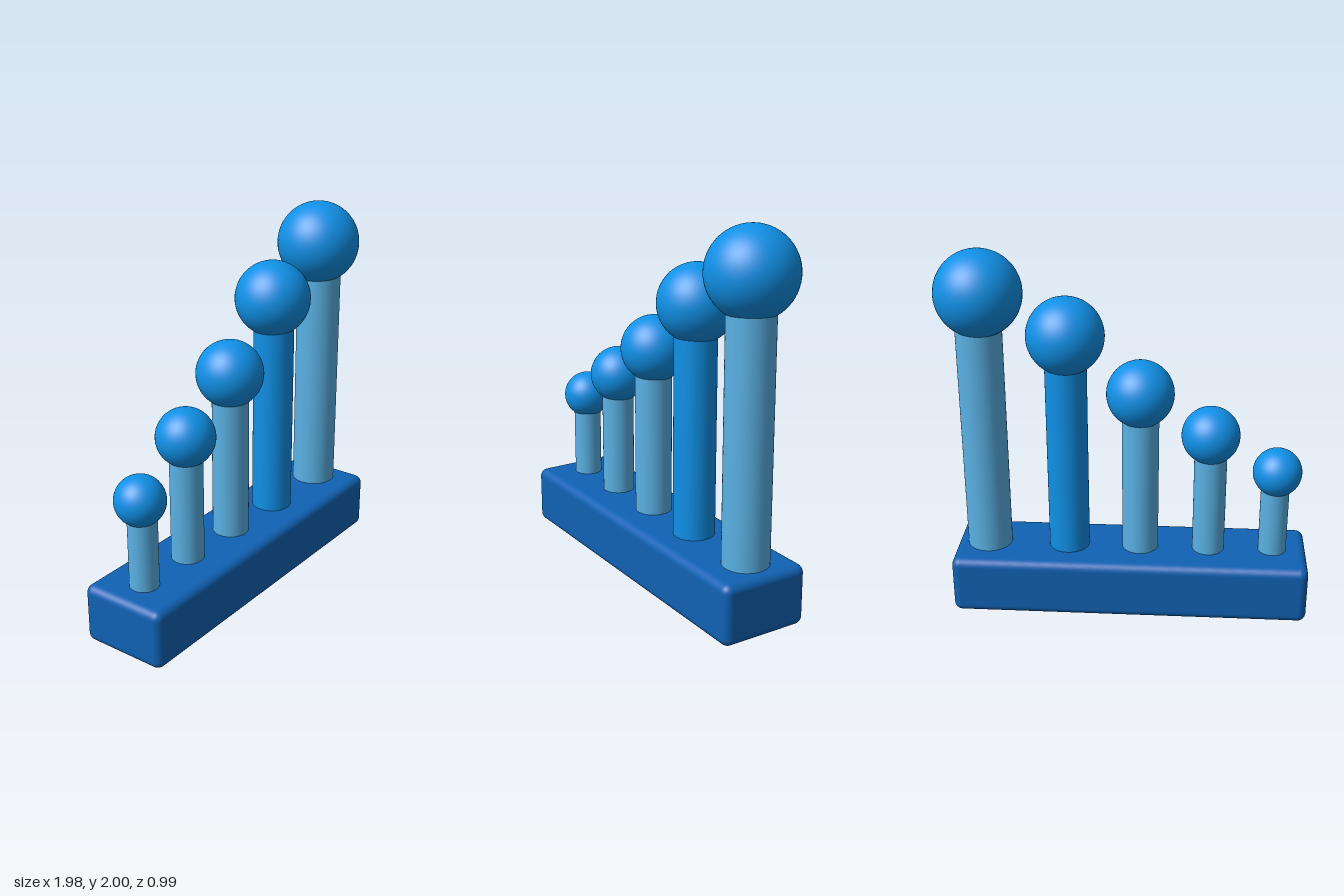
import * as THREE from 'three';
import { RoundedBoxGeometry } from 'three/addons/geometries/RoundedBoxGeometry.js';

const paint = (name, color) => {
  const m = new THREE.MeshStandardMaterial({ color });
  m.name = name;
  return m;
};

export function createModel() {
  const group = new THREE.Group();
  const bright = paint('bright blue', 0x1090e6);
  const light = paint('light blue', 0x5ab1e4);
  const deep = paint('deep blue', 0x1062b4);

  const add = (name, geometry, material, x, y, z) => {
    const mesh = new THREE.Mesh(geometry, material);
    mesh.name = name;
    mesh.position.set(x, y, z);
    group.add(mesh);
    return mesh;
  };

  // Rounded base bar, turned about the vertical
  const baseHeight = 0.325;
  const base = add('base', new RoundedBoxGeometry(1.94, baseHeight, 0.49, 5, 0.045),
    deep, 0, baseHeight / 2, 0);
  base.rotation.y = THREE.MathUtils.degToRad(16.3);

  // Pegs of rising height: peg x, peg z, peg radius, ball x, ball y, ball z, ball radius
  const pegs = [
    [-0.750, 0.219, 0.077, -0.757, 0.803, 0.217, 0.132],
    [-0.412, 0.117, 0.088, -0.410, 1.011, 0.113, 0.156],
    [-0.050, 0.012, 0.099, -0.050, 1.240, 0.007, 0.180],
    [0.328, -0.098, 0.111, 0.323, 1.553, -0.105, 0.205],
    [0.756, -0.225, 0.122, 0.746, 1.772, -0.228, 0.228],
  ];
  pegs.forEach(([x, z, r, bx, by, bz, br], i) => {
    const bottom = baseHeight - 0.1;
    const height = by - bottom;
    add('rod' + (i + 1), new THREE.CylinderGeometry(r, r, height, 48),
      i === 3 ? bright : light, x, bottom + height / 2, z);
    add('ball' + (i + 1), new THREE.SphereGeometry(br, 48, 32), bright, bx, by, bz);
  });

  return group;
}
